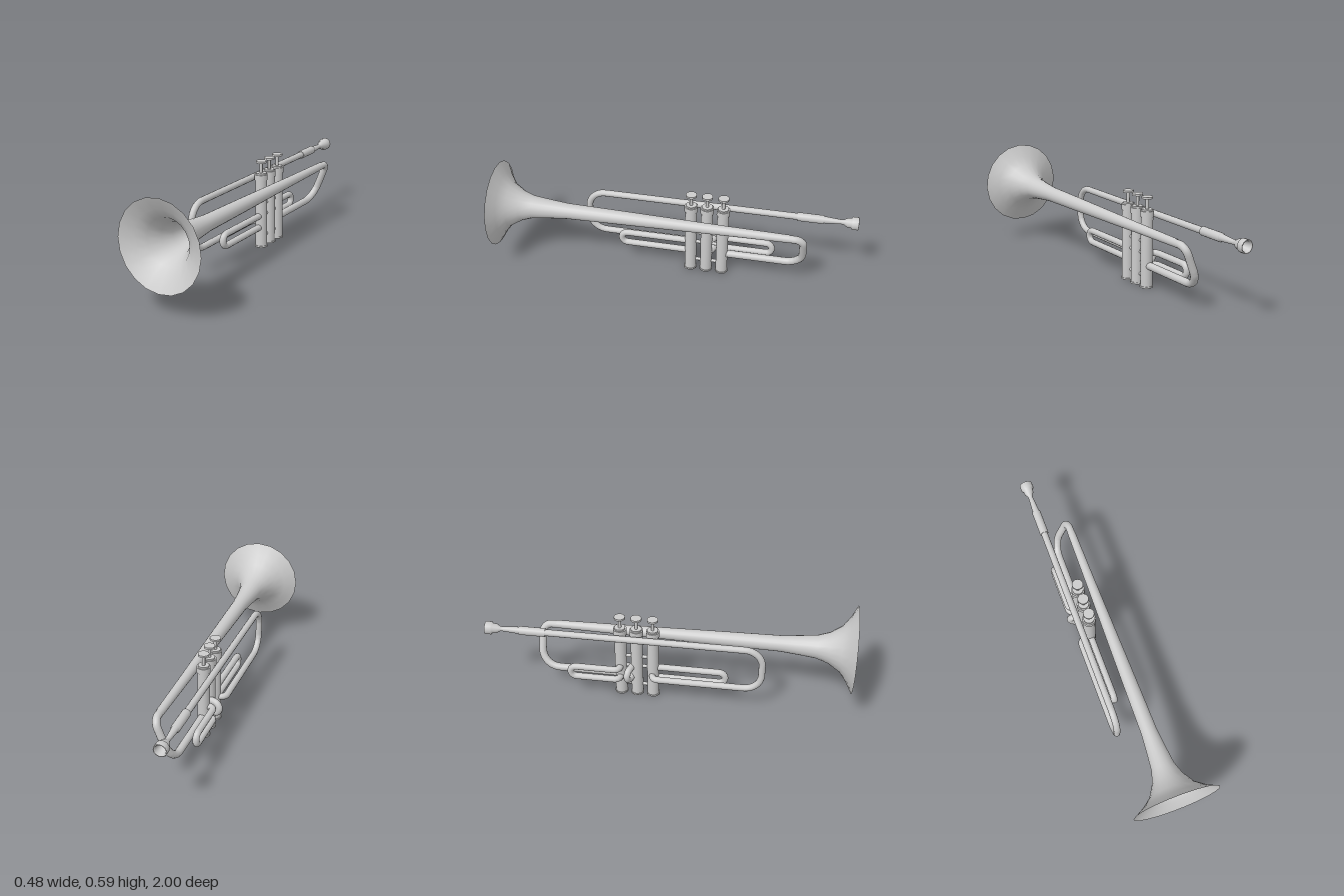
import * as THREE from 'three';

const material = new THREE.MeshStandardMaterial({ color: 0xcccccc, side: THREE.DoubleSide });
const VX = -0.09;                       // valve line
const PX = -0.15;                       // leadpipe line
const VALVES = [-0.085, -0.175, -0.265];

function add(parent, name, geometry, x = 0, y = 0, z = 0) {
  const mesh = new THREE.Mesh(geometry, material);
  mesh.name = name;
  mesh.position.set(x, y, z);
  parent.add(mesh);
  return mesh;
}

// Surface of revolution along z from [radius, z] pairs
function latheZ(profile, sides) {
  const pts = profile.map(([r, z]) => new THREE.Vector2(r, z));
  return new THREE.LatheGeometry(pts, sides).rotateX(Math.PI / 2);
}

// Upright cylinder between two heights
function post(parent, name, r, y0, y1, z, sides = 20) {
  add(parent, name, new THREE.CylinderGeometry(r, r, y1 - y0, sides), VX, (y0 + y1) / 2, z);
}

// Pipe along straight runs joined by rounded corners
function pipe(parent, name, corners, radius, bend, sides = 12) {
  const p = corners.map((c) => new THREE.Vector3(...c));
  const pts = [p[0]];
  for (let i = 1; i < p.length - 1; i++) {
    const toPrev = p[i - 1].clone().sub(p[i]);
    const toNext = p[i + 1].clone().sub(p[i]);
    const r = Math.min(bend, toPrev.length() * 0.49, toNext.length() * 0.49);
    const a = p[i].clone().addScaledVector(toPrev.normalize(), r);
    const b = p[i].clone().addScaledVector(toNext.normalize(), r);
    // control points approximating a circular corner
    const c1 = a.clone().lerp(p[i], 0.55);
    const c2 = b.clone().lerp(p[i], 0.55);
    pts.push(...new THREE.CubicBezierCurve3(a, c1, c2, b).getPoints(8));
  }
  pts.push(p[p.length - 1]);
  const path = new THREE.CurvePath();
  for (let i = 1; i < pts.length; i++) path.add(new THREE.LineCurve3(pts[i - 1], pts[i]));
  const length = path.getLength();
  const steps = Math.max(24, Math.round(length / 0.012));
  add(parent, name, new THREE.TubeGeometry(path, steps, radius, sides, false));
}

export function createModel() {
  const model = new THREE.Group();
  model.name = 'trumpet';

  // Flared bell and its long tapering tube
  const bell = latheZ([
    [0.022, -0.64], [0.027, -0.3], [0.033, 0], [0.039, 0.3], [0.044, 0.6], [0.052, 0.69],
    [0.064, 0.8], [0.085, 0.863], [0.125, 0.927], [0.175, 0.965], [0.232, 0.996], [0.24, 1],
  ], 20);
  add(model, 'bell', bell.rotateZ(-0.04), 0, 0.355, 0);

  // Rear bow slanting from the bell tube down to the third valve
  pipe(model, 'rearBow', [
    [0, 0.354, -0.62], [0, 0.354, -0.718], [VX, 0.125, -0.718], [VX, 0.125, VALVES[2]],
  ], 0.021, 0.1);

  // Leadpipe, front tuning bow and return into the first valve
  pipe(model, 'leadpipe', [
    [PX, 0.4, -0.67], [PX, 0.4, 0.517], [PX, 0.143, 0.517],
    [PX, 0.143, VALVES[0]], [VX, 0.143, VALVES[0]],
  ], 0.0185, 0.095);

  // Mouthpiece receiver
  add(model, 'receiver', latheZ([
    [0.012, -0.81], [0.024, -0.81], [0.024, -0.665], [0.018, -0.665],
  ], 16), PX, 0.4, 0);

  // Mouthpiece with hollow cup
  add(model, 'mouthpiece', latheZ([
    [0.004, -0.935], [0.02, -0.955], [0.028, -0.995], [0.031, -1], [0.036, -0.998],
    [0.036, -0.966], [0.028, -0.96], [0.026, -0.938], [0.014, -0.917], [0.013, -0.9], [0.02, -0.805],
  ], 16), PX, 0.4, 0);

  // Three piston valves
  VALVES.forEach((z, i) => {
    const valve = new THREE.Group();
    valve.name = `valve${i + 1}`;
    post(valve, 'casing', 0.033, 0.004, 0.42, z);
    post(valve, 'bottomCap', 0.037, 0, 0.009, z);
    post(valve, 'topCap', 0.037, 0.396, 0.428, z);
    post(valve, 'topCapRim', 0.03, 0.428, 0.437, z);
    post(valve, 'stem', 0.009, 0.43, 0.497, z, 12);
    post(valve, 'button', 0.03, 0.494, 0.505, z);
    model.add(valve);
  });

  // Short connectors between neighbouring valves
  for (const z of [-0.13, -0.22]) {
    for (const y of [0.06, 0.185, 0.25]) {
      add(model, 'valveConnector',
        new THREE.CylinderGeometry(0.01, 0.01, 0.05, 10).rotateX(Math.PI / 2), VX, y, z);
    }
  }

  // Front slide on the first valve
  pipe(model, 'frontSlide', [
    [VX, 0.186, VALVES[0]], [VX, 0.186, 0.317], [VX, 0.118, 0.317], [VX, 0.118, VALVES[0]],
  ], 0.0185, 0.034);

  // Sideways slide on the second valve
  pipe(model, 'sideSlide', [
    [VX, 0.186, -0.195], [-0.163, 0.186, -0.22], [-0.163, 0.12, -0.22], [VX, 0.12, -0.195],
  ], 0.0185, 0.033);

  // Rear slide on the third valve, running under the leadpipe
  pipe(model, 'rearSlide', [
    [VX, 0.186, VALVES[2]], [PX, 0.186, VALVES[2]], [PX, 0.186, -0.54],
    [PX, 0.12, -0.54], [PX, 0.12, VALVES[2]], [VX, 0.12, VALVES[2]],
  ], 0.0185, 0.033);

  return model;
}
